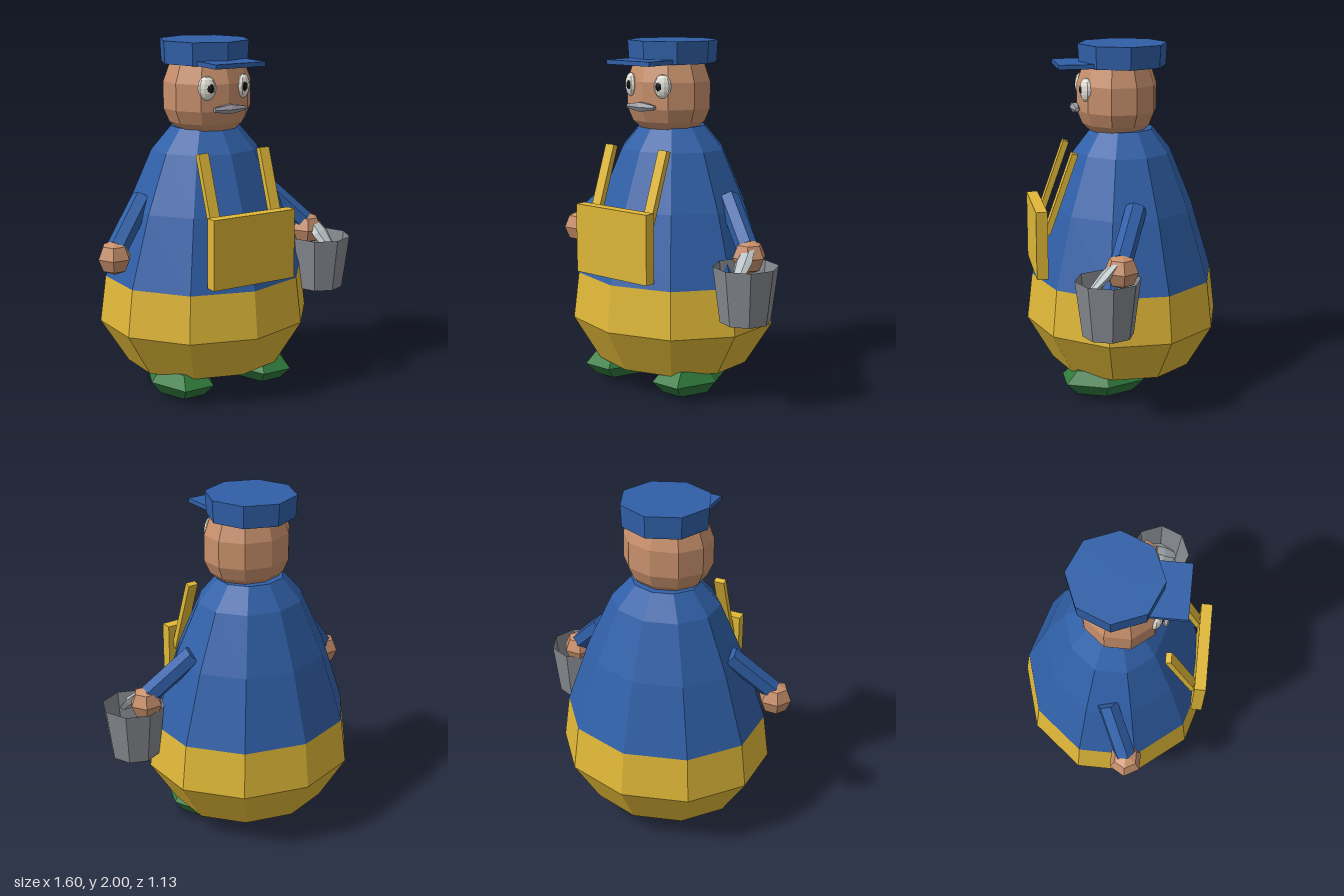
import * as THREE from 'three';

const mat = (color, side = THREE.FrontSide) =>
  new THREE.MeshStandardMaterial({ color, flatShading: true, side });

export function createModel() {
  const model = new THREE.Group();
  model.name = 'workerWithBucket';
  // The figure's own middle lies a little to the right, as the bucket widens its left side.
  const figure = new THREE.Group();
  figure.name = 'figure';
  figure.position.x = -0.063;
  model.add(figure);

  const blue = mat(0x3060a8), yellow = mat(0xe0b838), skin = mat(0xc8906c);
  const green = mat(0x2f7a3c), white = mat(0xe4e2d8), black = mat(0x151515);
  const grey = mat(0x9a9aa2), metal = mat(0x868a90, THREE.DoubleSide), pale = mat(0xb9c2c6);

  const add = (name, geometry, material, x = 0, y = 0, z = 0) => {
    const mesh = new THREE.Mesh(geometry, material);
    mesh.name = name;
    mesh.position.set(x, y, z);
    figure.add(mesh);
    return mesh;
  };
  // Ten-sided turned shape, slightly wider than deep
  const turned = (profile) => {
    const points = profile.map(([r, y]) => new THREE.Vector2(r, y));
    return new THREE.LatheGeometry(points, 10).scale(1.108, 1, 1);
  };
  // Straight bar between two points
  const between = (mesh, a, b) => {
    mesh.position.copy(a).add(b).multiplyScalar(0.5);
    mesh.quaternion.setFromUnitVectors(new THREE.Vector3(0, 1, 0), b.clone().sub(a).normalize());
    return mesh;
  };

  // Body: yellow trousers below, blue shirt above
  add('trousers', turned([[0, 0.15], [0.417, 0.15], [0.563, 0.405], [0.532, 0.67]]), yellow);
  add('shirt', turned([[0.532, 0.67], [0.412, 1.07], [0.283, 1.39], [0.18, 1.52], [0, 1.52]]), blue);

  // Head
  add('head', turned([[0, 1.49], [0.155, 1.505], [0.2, 1.55], [0.23, 1.625], [0.23, 1.775], [0.195, 1.88], [0, 1.95]]),
    skin, 0, 0, 0.03);

  // Cap and peak
  add('cap', new THREE.CylinderGeometry(0.257, 0.25, 0.127, 8), blue, 0, 1.9365, -0.005);
  add('capPeak', new THREE.BoxGeometry(0.312, 0.025, 0.25), blue, 0, 1.887, 0.255);

  // Moustache: a spindle lying across the face
  const spindle = [[0, -0.1], [0.014, -0.098], [0.03, 0], [0.014, 0.098], [0, 0.1]];
  const moustache = new THREE.LatheGeometry(spindle.map(([r, y]) => new THREE.Vector2(r, y)), 6);
  add('moustache', moustache.rotateZ(Math.PI / 2), grey, 0, 1.64, 0.27);

  // Bib
  add('bib', new THREE.BoxGeometry(0.52, 0.39, 0.065), yellow, 0, 0.905, 0.4975);

  for (const s of [-1, 1]) {
    const side = s > 0 ? 'left' : 'right';

    // Eyes, turned to follow the face
    const eye = add(side + 'Eye', new THREE.SphereGeometry(1, 10, 8), white, s * 0.117, 1.755, 0.222);
    eye.scale.set(0.05, 0.067, 0.03);
    eye.rotation.y = s * 0.45;
    const pupil = add(side + 'Pupil', new THREE.SphereGeometry(1, 8, 6), black, s * 0.11, 1.755, 0.245);
    pupil.scale.set(0.022, 0.03, 0.014);
    pupil.rotation.y = s * 0.35;

    // Straps leaning back from the bib
    const strap = add(side + 'Strap', new THREE.BoxGeometry(0.062, 0.48, 0.034), yellow, s * 0.196, 1.188, 0.383);
    strap.rotation.x = -0.345;

    // Sleeves and hands
    const shoulder = new THREE.Vector3(s * 0.4, 1.135, -0.01);
    const wrist = new THREE.Vector3(s * 0.62, 0.905, 0.11);
    const length = shoulder.distanceTo(wrist);
    between(add(side + 'Sleeve', new THREE.CylinderGeometry(0.06, 0.06, length, 6), blue), wrist, shoulder);
    add(side + 'Hand', new THREE.SphereGeometry(0.097, 6, 4), skin, s * 0.64, 0.855, 0.115);

    // Boots
    const boot = add(side + 'Boot', new THREE.SphereGeometry(1, 6, 4), green, s * 0.26, 0.105, 0.157);
    boot.scale.set(0.182, 0.1, 0.258);
  }

  // Bucket: open wall with a floor
  const bucket = new THREE.LatheGeometry(
    [[0, -0.155], [0.14, -0.155], [0.18, 0.155]].map(([r, y]) => new THREE.Vector2(r, y)), 8);
  add('bucket', bucket, metal, 0.678, 0.67, 0.195);

  // Flat scoop held between hand and bucket
  const scoop = add('scoop', new THREE.SphereGeometry(1, 6, 4), pale);
  scoop.scale.set(0.055, 0.13, 0.028);
  between(scoop, new THREE.Vector3(0.69, 0.76, 0.29), new THREE.Vector3(0.655, 0.92, 0.13));

  return model;
}
